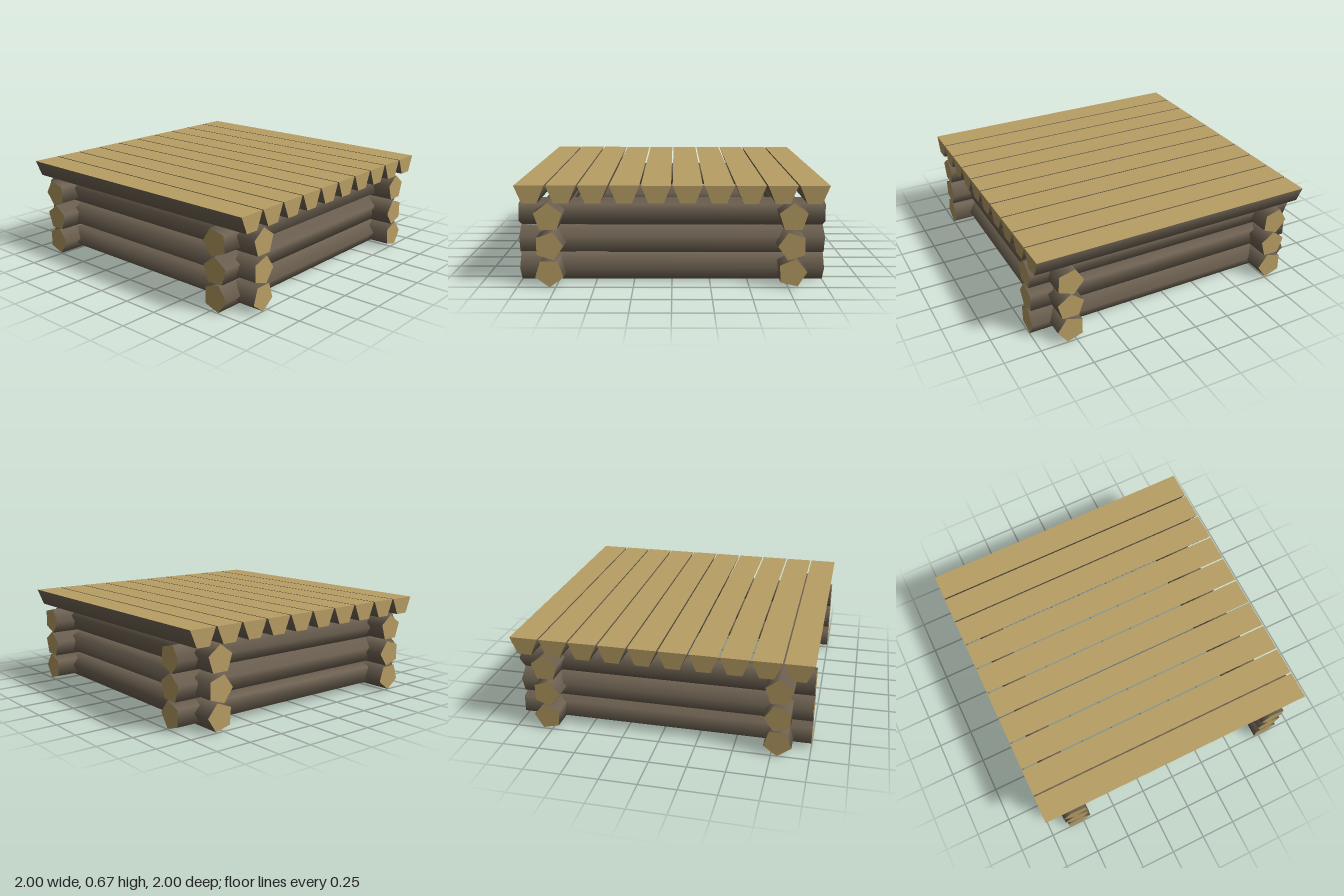
import * as THREE from 'three';

const RAD = Math.PI / 180;
const LENGTH = 2;

export function createModel() {
  const model = new THREE.Group();
  model.name = 'logPlatform';

  const bark = new THREE.MeshStandardMaterial({ color: 0x6f6353 });
  bark.name = 'bark';
  const cutWood = new THREE.MeshStandardMaterial({ color: 0xb89e64 });
  cutWood.name = 'cutWood';
  const barkWithCutEnds = [bark, cutWood, cutWood];

  // Prism along z; the first corner sits at the given angle in the xy plane
  const prism = (radius, sides, angle, sweep = 360) =>
    new THREE.CylinderGeometry(radius, radius, LENGTH, sides, 1, false, (angle + 90) * RAD, sweep * RAD)
      .rotateX(Math.PI / 2);

  function add(parent, name, geometry, material, x, y, z) {
    const mesh = new THREE.Mesh(geometry, material);
    mesh.name = name;
    mesh.position.set(x, y, z);
    parent.add(mesh);
  }

  // Crossed five-sided logs, each layer turned differently
  const layers = [
    { y: 0.097, side: 0, front: 270, back: 4 },
    { y: 0.273, side: 92, front: 0, back: 180 },
    { y: 0.459, side: 184, front: 90, back: 90 },
  ];
  const frame = new THREE.Group();
  frame.name = 'logFrame';
  model.add(frame);
  for (const { y, side, front, back } of layers) {
    for (const x of [-0.785, 0.785]) {
      add(frame, x < 0 ? 'rightLog' : 'leftLog', prism(0.096, 5, side), barkWithCutEnds, x, y, 0);
    }
    add(frame, 'frontLog', prism(0.096, 5, front).rotateY(Math.PI / 2), barkWithCutEnds, 0, y, 0.79);
    add(frame, 'backLog', prism(0.096, 5, back).rotateY(Math.PI / 2), barkWithCutEnds, 0, y, -0.775);
  }

  // Deck of split logs: half hexagons below a flat sawn top
  const deck = new THREE.Group();
  deck.name = 'deck';
  model.add(deck);
  const count = 10, half = 0.0955, top = 0.667, depth = 0.115;
  const splitLog = prism(half, 3, 180, 180)
    .rotateY(Math.PI / 2)
    .scale(1, depth / (half * Math.sin(Math.PI / 3)), 1);
  const sawnTop = new THREE.PlaneGeometry(LENGTH, half * 2).rotateX(-Math.PI / 2);
  for (let i = 0; i < count; i++) {
    const z = (1 - half) * (1 - (2 * i) / (count - 1));
    add(deck, 'plankBody', splitLog, barkWithCutEnds, 0, top, z);
    add(deck, 'plankTop', sawnTop, cutWood, 0, top, z);
  }
  return model;
}
